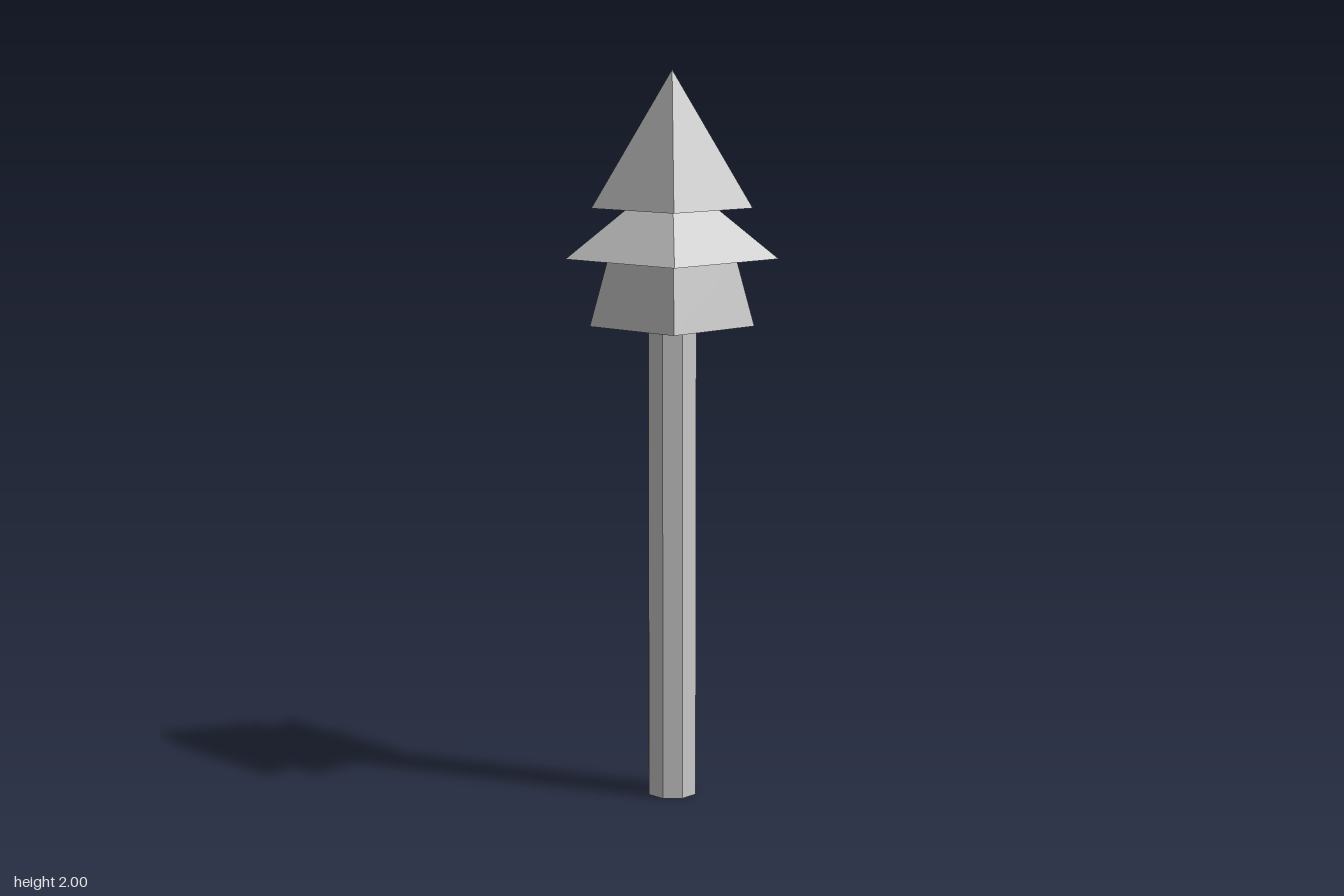
import * as THREE from 'three';

const material = new THREE.MeshStandardMaterial({
  color: 0xcccccc, flatShading: true, side: THREE.DoubleSide,
});

// Prism or frustum with flat faces turned towards the axes; sizes are half-widths across flats
function addTaper(group, name, sides, bottomHalf, topHalf, y0, y1, open = false) {
  const k = 1 / Math.cos(Math.PI / sides);
  const geometry = new THREE.CylinderGeometry(topHalf * k, bottomHalf * k, y1 - y0, sides, 1, open);
  geometry.rotateY(Math.PI / sides);
  geometry.translate(0, (y0 + y1) / 2, 0);
  const mesh = new THREE.Mesh(geometry, material);
  mesh.name = name;
  group.add(mesh);
}

export function createModel() {
  const tree = new THREE.Group();
  tree.name = 'tree';

  // Tall hollow trunk, open at the foot
  addTaper(tree, 'trunk', 8, 0.065, 0.065, 0, 1.31, true);

  // Three square tiers of foliage
  addTaper(tree, 'lowerFoliage', 4, 0.158, 0.123, 1.31, 1.493);
  addTaper(tree, 'middleFoliage', 4, 0.204, 0.085, 1.493, 1.63);
  addTaper(tree, 'topFoliage', 4, 0.154, 0, 1.63, 2);

  return tree;
}
